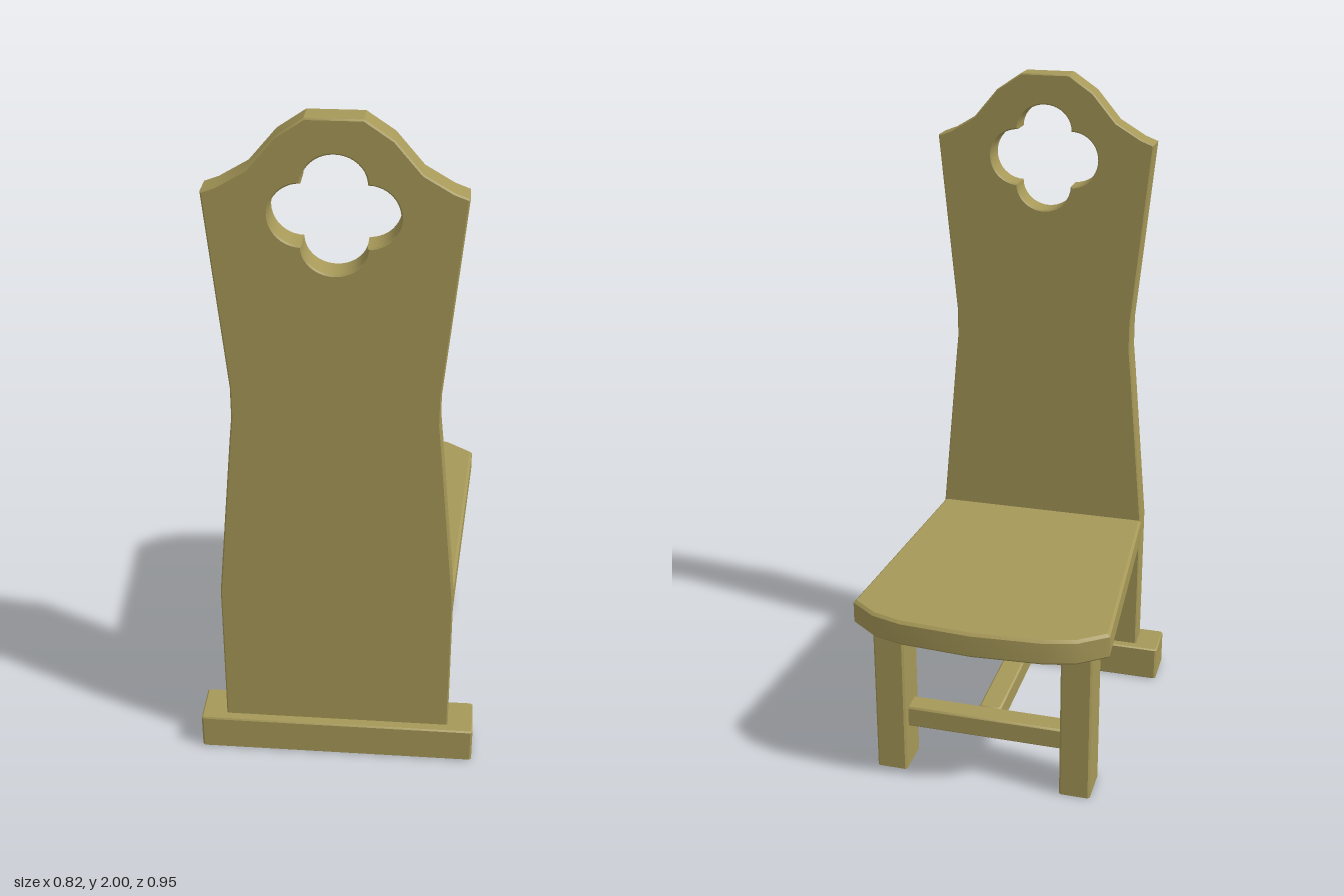
import * as THREE from 'three';
import { toCreasedNormals } from 'three/addons/utils/BufferGeometryUtils.js';

const wood = new THREE.MeshStandardMaterial({ color: 0xa69858 });
const openWood = new THREE.MeshStandardMaterial({ color: 0xa69858, side: THREE.DoubleSide });

function shapeFrom(points) {
  return new THREE.Shape(points.map(([x, y]) => new THREE.Vector2(x, y)));
}

// Mirrors the right half of an outline to close it
function mirrored(half) {
  const left = half.filter(([x]) => x !== 0).reverse().map(([x, y]) => [-x, y]);
  return shapeFrom([...half, ...left]);
}

// Extrudes to an exact depth, with a small chamfer kept inside the outline
function slab(shape, depth, bevel) {
  const geometry = new THREE.ExtrudeGeometry(shape, {
    depth: depth - 2 * bevel, curveSegments: 10, bevelEnabled: bevel > 0,
    bevelThickness: bevel, bevelSize: bevel, bevelOffset: -bevel, bevelSegments: 1,
  });
  return geometry.translate(0, 0, bevel);
}

// Removes the faces that point straight down
function openBottom(geometry) {
  const p = geometry.attributes.position, n = geometry.attributes.normal;
  const kept = [];
  for (let i = 0; i < p.count; i += 3) {
    if (n.getY(i) < -0.95) continue;
    for (let k = i; k < i + 3; k++) kept.push(p.getX(k), p.getY(k), p.getZ(k));
  }
  const open = new THREE.BufferGeometry();
  open.setAttribute('position', new THREE.Float32BufferAttribute(kept, 3));
  return open;
}

// Chamfered block between two corners
function block([x0, y0, z0], [x1, y1, z1], bevel) {
  const a = (x1 - x0) / 2, b = (z1 - z0) / 2, c = 0.006;
  const outline = shapeFrom([
    [a, c - b], [a, b - c], [a - c, b], [c - a, b],
    [-a, b - c], [-a, c - b], [c - a, -b], [a - c, -b],
  ]);
  const geometry = slab(outline, y1 - y0, bevel).rotateX(-Math.PI / 2);
  return geometry.translate((x0 + x1) / 2, y0, (z0 + z1) / 2);
}

export function createModel() {
  const chair = new THREE.Group();
  chair.name = 'chair';
  const add = (name, geometry, material = wood) => {
    const mesh = new THREE.Mesh(toCreasedNormals(geometry, 0.56), material);
    mesh.name = name;
    chair.add(mesh);
  };

  // Tall waisted back with a four-lobed cutout
  const back = mirrored([
    [0.335, 0.11], [0.335, 0.575], [0.289, 1.08], [0.281, 1.16], [0.281, 1.25],
    [0.334, 1.805], [0.295, 1.82], [0.219, 1.865], [0.147, 1.95], [0.073, 2.0],
  ]);
  const cutout = new THREE.Path();
  const r = 0.083;
  for (let i = 0; i < 4; i++) {
    const t = i * Math.PI / 2;
    const height = i % 2 ? 0.077 : r;
    cutout.absellipse(r * Math.cos(t), 1.75 + r * Math.sin(t), r, height, t - Math.PI / 2, t + Math.PI / 2, false);
  }
  back.holes.push(cutout);
  add('backPanel', slab(back, 0.078, 0.004).translate(0, 0, 0.368));

  // Foot beam under the back, hollow below
  add('backFoot', openBottom(block([-0.41, 0, 0.341], [0.41, 0.113, 0.473], 0.004)), openWood);

  // Seat, widening to a bowed front
  const seat = mirrored([
    [0.336, -0.375], [0.384, 0.375], [0.304, 0.434], [0.214, 0.46], [0, 0.474],
  ]);
  add('seat', slab(seat, 0.079, 0.008).rotateX(-Math.PI / 2).translate(0, 0.497, 0));

  // Front legs, hollow below
  for (const [name, x] of [['leftLeg', 0.286], ['rightLeg', -0.286]]) {
    add(name, openBottom(block([x - 0.047, 0, -0.363], [x + 0.047, 0.5, -0.24], 0)), openWood);
  }

  // T-shaped stretcher
  add('crossStretcher', block([-0.245, 0.138, -0.334], [0.245, 0.205, -0.266], 0.005));
  add('centreStretcher', block([-0.034, 0.138, -0.27], [0.034, 0.205, 0.375], 0.005));

  return chair;
}
